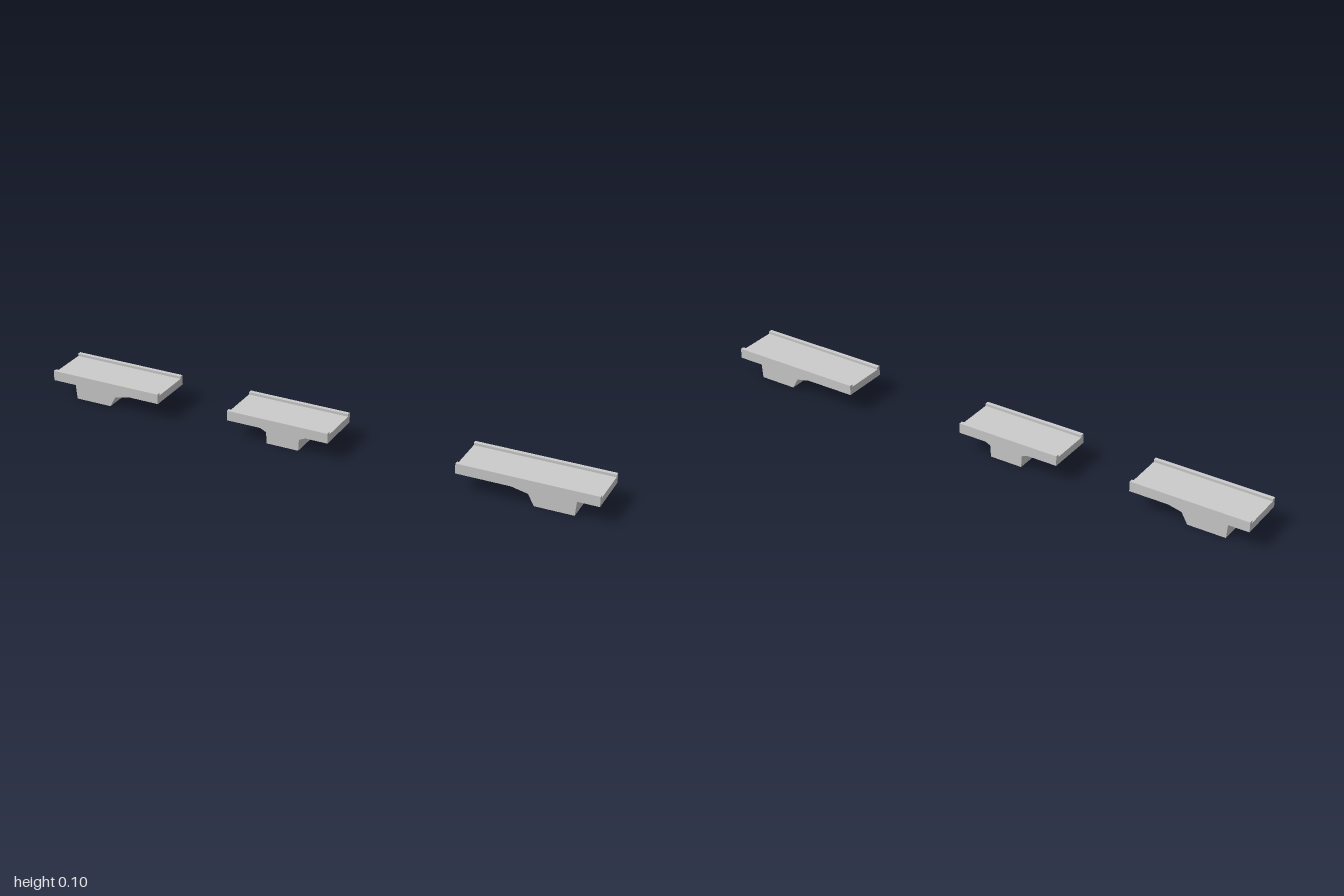
import * as THREE from 'three';

const material = new THREE.MeshStandardMaterial({ color: 0xcccccc, flatShading: true });

// Extrudes a closed outline along z, centred on z = 0
function extrude(points, depth) {
  const shape = new THREE.Shape(points.map(([x, y]) => new THREE.Vector2(x, y)));
  const geometry = new THREE.ExtrudeGeometry(shape, { depth, bevelEnabled: false });
  return geometry.translate(0, 0, -depth / 2);
}

function part(name, geometry) {
  const mesh = new THREE.Mesh(geometry, material);
  mesh.name = name;
  return mesh;
}

// Deck cross-section (z, y): slab with a raised kerb along each edge
const half = 0.085, inner = 0.071;
const deckBottom = 0.061, road = 0.088, kerbTop = 0.097;
const deckSection = [
  [-half, deckBottom], [half, deckBottom], [half, kerbTop], [inner, kerbTop],
  [inner, road], [-inner, road], [-inner, kerbTop], [-half, kerbTop],
];

// Pier outline for an end span: upright outside, long haunch towards the middle
const endPier = [
  [-0.922, deckBottom], [-0.917, 0.001], [-0.782, 0.001],
  [-0.76, 0.04], [-0.665, deckBottom],
];

// Pier outline for the middle span: short haunch on both sides
const middlePier = [
  [-0.21, deckBottom], [-0.17, 0.042], [-0.168, 0], [-0.05, 0],
  [-0.047, 0.042], [-0.005, deckBottom],
];

const mirrored = (points) => points.map(([x, y]) => [-x, y]).reverse();

function createSpan(name, x0, x1, pierOutline) {
  const span = new THREE.Group();
  span.name = name;
  const deck = extrude(deckSection, x1 - x0);
  deck.rotateY(Math.PI / 2).translate((x0 + x1) / 2, 0, 0);
  span.add(part('deck', deck), part('pier', extrude(pierOutline, inner * 2)));
  return span;
}

export function createModel() {
  const model = new THREE.Group();
  model.name = 'bridgeSections';
  model.add(
    createSpan('rightSpan', -1, -0.58, endPier),
    createSpan('middleSpan', -0.31, 0.065, middlePier),
    createSpan('leftSpan', 0.517, 1, mirrored(endPier)),
  );
  return model;
}
